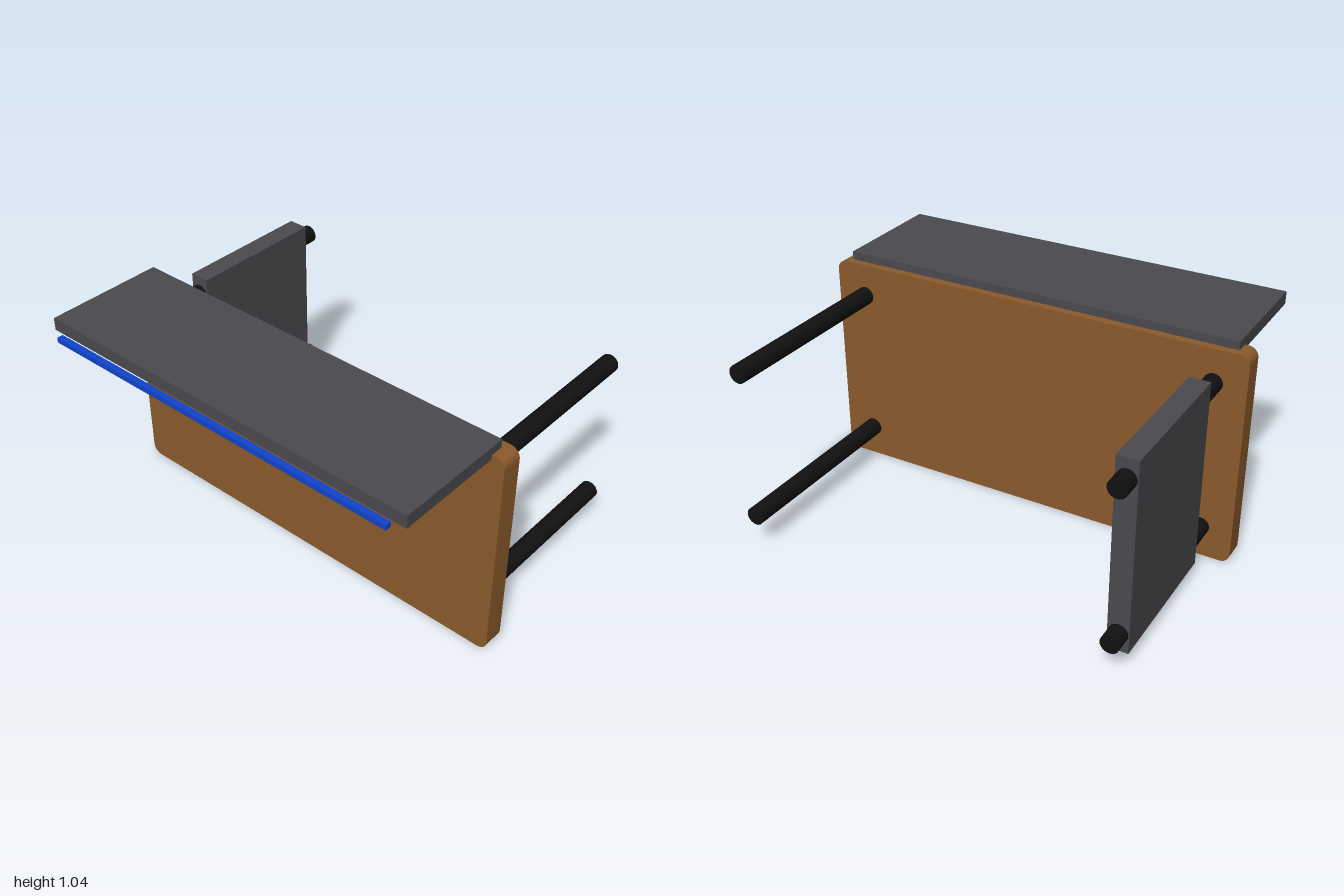
import * as THREE from 'three';
import { toCreasedNormals } from 'three/addons/utils/BufferGeometryUtils.js';

const material = (name, color) => {
  const m = new THREE.MeshStandardMaterial({ color });
  m.name = name;
  return m;
};

// Slab with rounded corners in its own XY plane, centred on the origin
function roundedSlab(w, h, depth, r) {
  const x = w / 2, y = h / 2;
  const s = new THREE.Shape();
  s.moveTo(-x + r, -y);
  s.lineTo(x - r, -y);
  s.absarc(x - r, -y + r, r, -Math.PI / 2, 0);
  s.lineTo(x, y - r);
  s.absarc(x - r, y - r, r, 0, Math.PI / 2);
  s.lineTo(-x + r, y);
  s.absarc(-x + r, y - r, r, Math.PI / 2, Math.PI);
  s.lineTo(-x, -y + r);
  s.absarc(-x + r, -y + r, r, Math.PI, Math.PI * 1.5);
  const g = new THREE.ExtrudeGeometry(s, { depth, bevelEnabled: false, curveSegments: 6 });
  g.translate(0, 0, -depth / 2);
  return toCreasedNormals(g, 0.7);
}

export function createModel() {
  const model = new THREE.Group();
  model.name = 'desk';

  const wood = material('brown wood', 0x8b5a2b);
  const grey = material('dark grey panel', 0x4a4a4f);
  const black = material('black metal', 0x111111);
  const blue = material('blue light', 0x1144cc);

  const add = (name, geometry, mat, x, y, z) => {
    const mesh = new THREE.Mesh(geometry, mat);
    mesh.name = name;
    mesh.position.set(x, y, z);
    model.add(mesh);
    return mesh;
  };

  // Upright desk top
  add('deskTop', roundedSlab(2, 1, 0.097, 0.045), wood, 0, 0.5, 0.182);

  // Four legs pointing backwards
  const legGeometry = new THREE.CylinderGeometry(0.042, 0.042, 0.9, 20);
  legGeometry.rotateX(Math.PI / 2);
  for (const side of [-1, 1]) {
    for (const y of [0.15, 0.85]) {
      add((side > 0 ? 'left' : 'right') + (y > 0.5 ? 'Upper' : 'Lower') + 'Leg',
        legGeometry, black, side * 0.855, y, -0.313);
    }
  }

  // Panel joining the two right legs
  add('sidePanel', new THREE.BoxGeometry(0.094, 0.87, 0.666), grey, -0.854, 0.5, -0.352);

  // Shelf along the upper edge, with a light strip before it
  add('shelf', new THREE.BoxGeometry(1.88, 0.058, 0.556), grey, 0, 1.009, 0.448);
  add('lightStrip', new THREE.BoxGeometry(1.76, 0.024, 0.028), blue, 0, 0.974, 0.751);

  return model;
}
